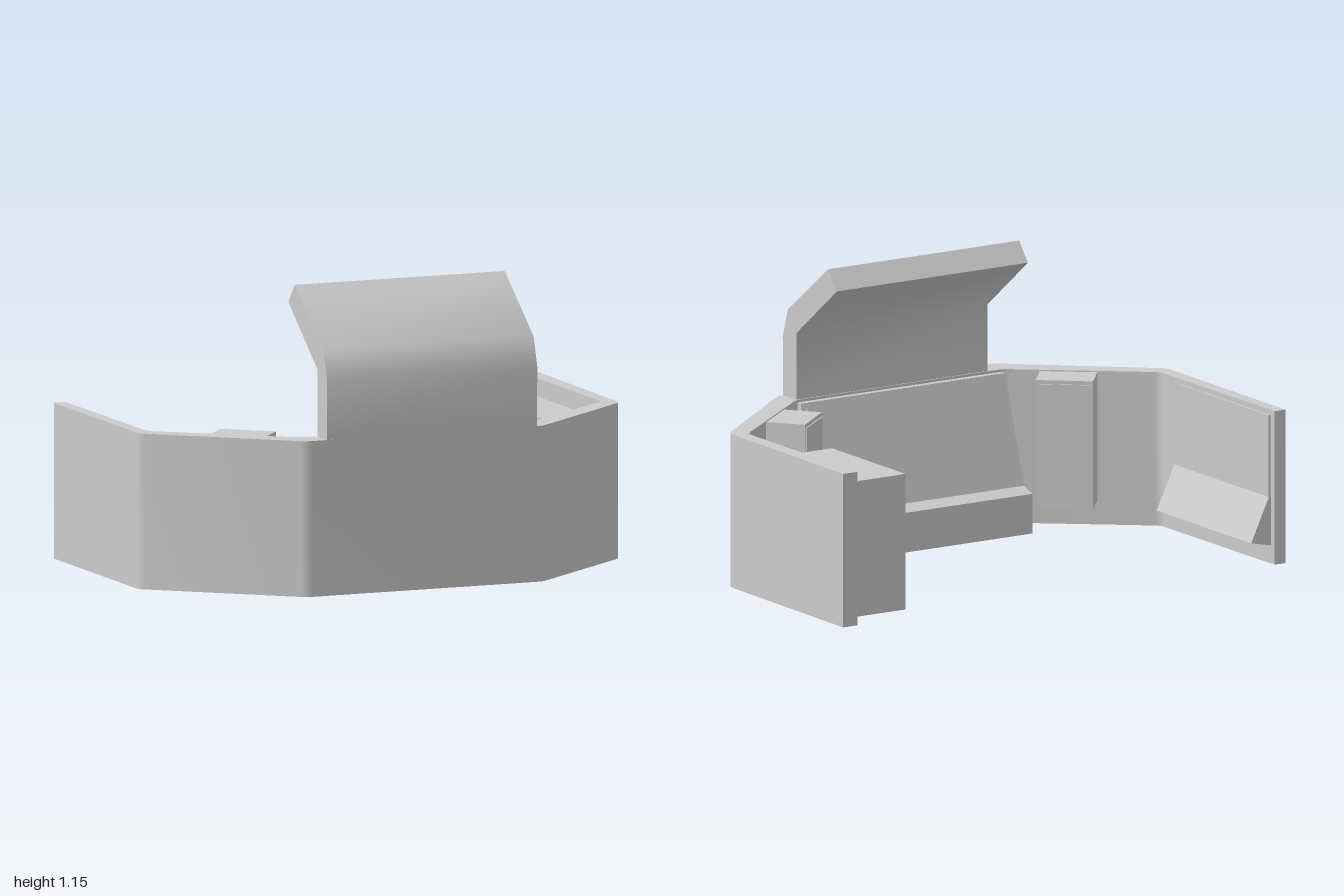
import * as THREE from 'three';
import { toCreasedNormals } from 'three/addons/utils/BufferGeometryUtils.js';

const material = new THREE.MeshStandardMaterial({ color: 0xcccccc });

function shapeOf(points) {
  return new THREE.Shape(points.map(([a, b]) => new THREE.Vector2(a, b)));
}

function extrude(points, depth) {
  return new THREE.ExtrudeGeometry(shapeOf(points), { depth, bevelEnabled: false });
}

// Plan outline of [x, z] points raised from y0 to y1
function planGeometry(points, y0, y1) {
  return extrude(points.map(([x, z]) => [x, -z]), y1 - y0).rotateX(-Math.PI / 2).translate(0, y0, 0);
}

// Side profile of [z, y] points swept from x0 to x1
function sideGeometry(points, x0, x1) {
  return extrude(points, x1 - x0).rotateY(-Math.PI / 2).translate(x1, 0, 0);
}

// Replaces an outline corner with a small curve
function roundCorner(before, corner, after, reach = 0.025, steps = 4) {
  const [a, c, b] = [before, corner, after].map(([x, z]) => new THREE.Vector2(x, z));
  const p = c.clone().add(a.sub(c).setLength(reach));
  const q = c.clone().add(b.sub(c).setLength(reach));
  return new THREE.QuadraticBezierCurve(p, c, q).getPoints(steps).map((v) => [v.x, v.y]);
}

export function createModel() {
  const model = new THREE.Group();
  model.name = 'controlStation';

  const add = (name, geometry, parent = model) => {
    const mesh = new THREE.Mesh(geometry, material);
    mesh.name = name;
    parent.add(mesh);
    return mesh;
  };

  // Angled wall wrapped around the station, open at the back
  const outer = [[-1, -0.63], [-1, 0.19], [-0.49, 0.625], [0.49, 0.62], [0.985, 0.205], [0.995, -0.6]];
  const inner = [[0.93, -0.6], [0.93, 0.16], [0.47, 0.525], [-0.47, 0.525], [-0.945, 0.15], [-0.95, -0.63]];
  const soften = (line) => line.flatMap((p, i) =>
    i === 0 || i === line.length - 1 ? [p] : roundCorner(line[i - 1], p, line[i + 1]));
  add('wall', toCreasedNormals(planGeometry([...soften(outer), ...soften(inner)], 0, 0.6), 0.6));

  // Hood bending back over the console
  add('hood', toCreasedNormals(sideGeometry([
    [0.53, 0.6], [0.623, 0.6], [0.625, 0.83], [0.59, 0.94], [0.31, 1.153], [0.25, 1.078], [0.53, 0.86],
  ], -0.405, 0.465), 1.0));

  // Main console: low ledge with a steep display above
  const console_ = new THREE.Group();
  console_.name = 'mainConsole';
  model.add(console_);
  add('consoleBody', sideGeometry([
    [0.31, 0], [0.31, 0.155], [0.37, 0.175], [0.5, 0.59], [0.53, 0.59], [0.53, 0],
  ], -0.465, 0.465), console_);
  const onSlope = (along, out) => [0.37 + 0.299 * along - 0.954 * out, 0.175 + 0.954 * along + 0.299 * out];
  add('consoleDisplay', sideGeometry([
    onSlope(0.025, -0.005), onSlope(0.025, 0.007), onSlope(0.415, 0.007), onSlope(0.415, -0.005),
  ], -0.445, 0.445), console_);

  // Tall cabinets on the two diagonal walls, each with a front panel
  for (const side of [-1, 1]) {
    const cabinet = new THREE.Group();
    cabinet.name = side > 0 ? 'leftCabinet' : 'rightCabinet';
    cabinet.position.set(side * 0.635, 0.345, 0.328);
    cabinet.rotation.y = side * (Math.PI + 0.69);
    model.add(cabinet);
    add('cabinetBody', new THREE.BoxGeometry(0.22, 0.5, 0.2), cabinet);
    add('cabinetPanel', new THREE.BoxGeometry(0.2, 0.47, 0.01).translate(0, 0, 0.1), cabinet);
  }

  // Large locker standing against the left wall
  add('locker', new THREE.BoxGeometry(0.31, 0.53, 0.51).translate(0.787, 0.265, -0.225));

  // Sloped side desk and thin back panel on the right wall
  const desk = new THREE.Group();
  desk.name = 'sideDesk';
  model.add(desk);
  add('deskWedge', extrude([[-0.955, 0.07], [-0.86, 0.09], [-0.94, 0.26], [-0.955, 0.26]], 0.655)
    .translate(0, 0, -0.605), desk);
  add('deskBackPanel', new THREE.BoxGeometry(0.02, 0.33, 0.65).translate(-0.95, 0.415, -0.278), desk);

  return model;
}
